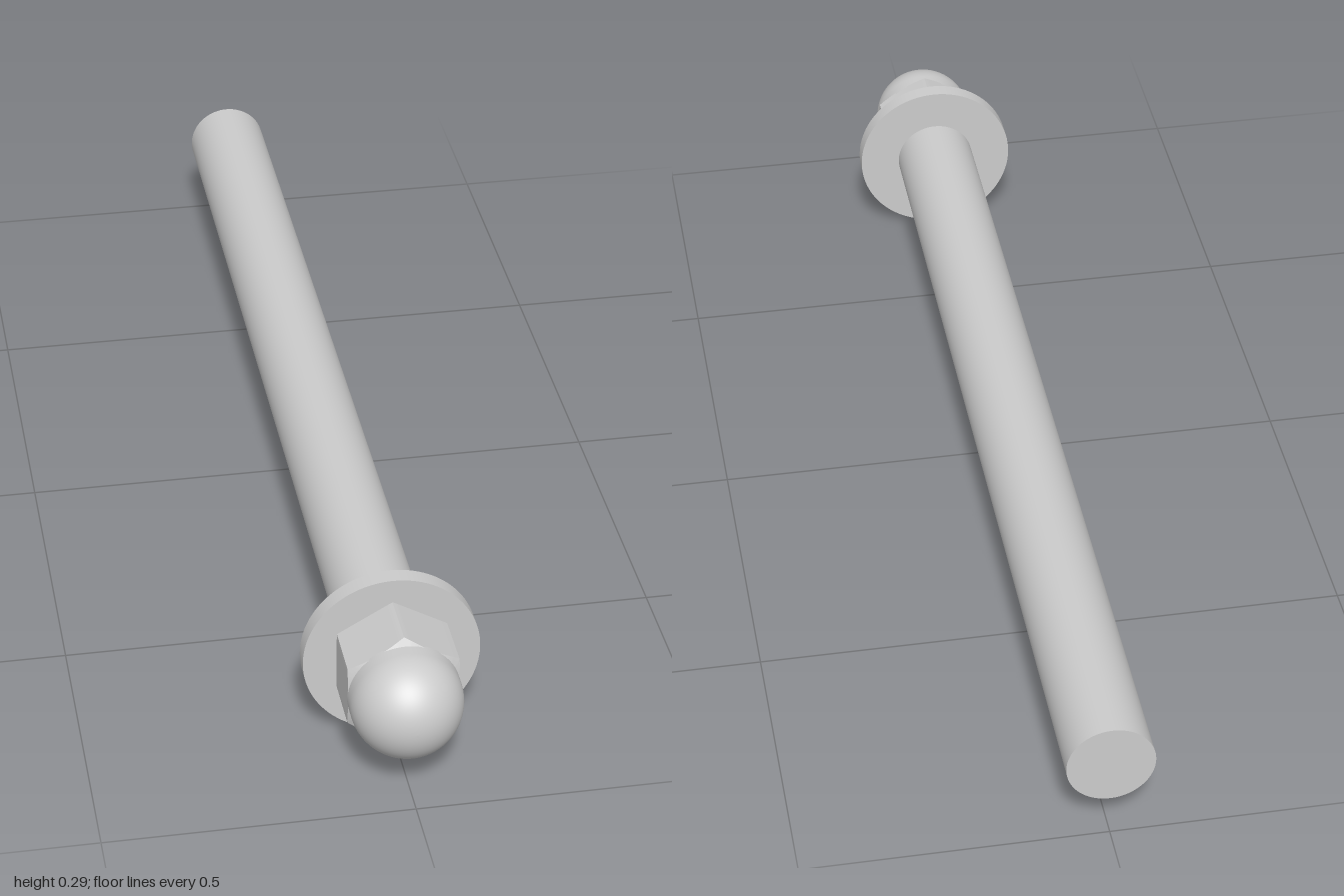
import * as THREE from 'three';
import { toCreasedNormals } from 'three/addons/utils/BufferGeometryUtils.js';

const AXIS_Y = 0.145; // height of the common axis
const FLAT = 0.09; // half the width across the nut's flats
const CORNER = 0.1035; // slightly blunted corner radius

export function createModel() {
  const group = new THREE.Group();
  const material = new THREE.MeshStandardMaterial({ color: 0xcccccc });

  // Turns a geometry made along y so that it runs along z
  const add = (name, geometry, z) => {
    const mesh = new THREE.Mesh(geometry.rotateX(Math.PI / 2), material);
    mesh.name = name;
    mesh.position.set(0, AXIS_Y, z);
    group.add(mesh);
  };
  const lathe = (points, segments) =>
    new THREE.LatheGeometry(points.map(([r, y]) => new THREE.Vector2(r, y)), segments);

  add('rod', new THREE.CylinderGeometry(0.072, 0.072, 1.755, 64), -0.1225);
  add('washer', new THREE.CylinderGeometry(0.145, 0.145, 0.03, 96), 0.77);

  // Hexagonal nut: a turned profile pushed out to a hexagon, with a conical front chamfer
  const nutLength = 0.105;
  const nut = lathe([[0, 0], [FLAT, 0], [FLAT, nutLength], [FLAT - 0.001, nutLength], [0, nutLength]], 144);
  const p = nut.attributes.position;
  for (let i = 0; i < p.count; i++) {
    const ring = i % 5;
    if (ring !== 1 && ring !== 2) continue;
    const angle = Math.atan2(p.getX(i), p.getZ(i));
    const sector = Math.PI / 3;
    const fromFlat = angle - (Math.floor(angle / sector + 1e-6) + 0.5) * sector;
    const r = Math.min(FLAT / Math.cos(fromFlat), CORNER);
    const y = ring === 1 ? 0 : nutLength - (r - FLAT + 0.001) * 0.6;
    p.setXYZ(i, r * Math.sin(angle), y, r * Math.cos(angle));
  }
  add('nut', toCreasedNormals(nut, 0.4), 0.785);

  // Domed cap: short cylinder closed by a hemisphere
  const dome = [[0.091, -0.024]];
  for (let i = 0; i <= 24; i++) {
    const a = (i / 24) * Math.PI / 2;
    dome.push([i === 24 ? 0 : 0.091 * Math.cos(a), 0.091 * Math.sin(a)]);
  }
  add('domeCap', lathe(dome, 72), 0.909);

  return group;
}
